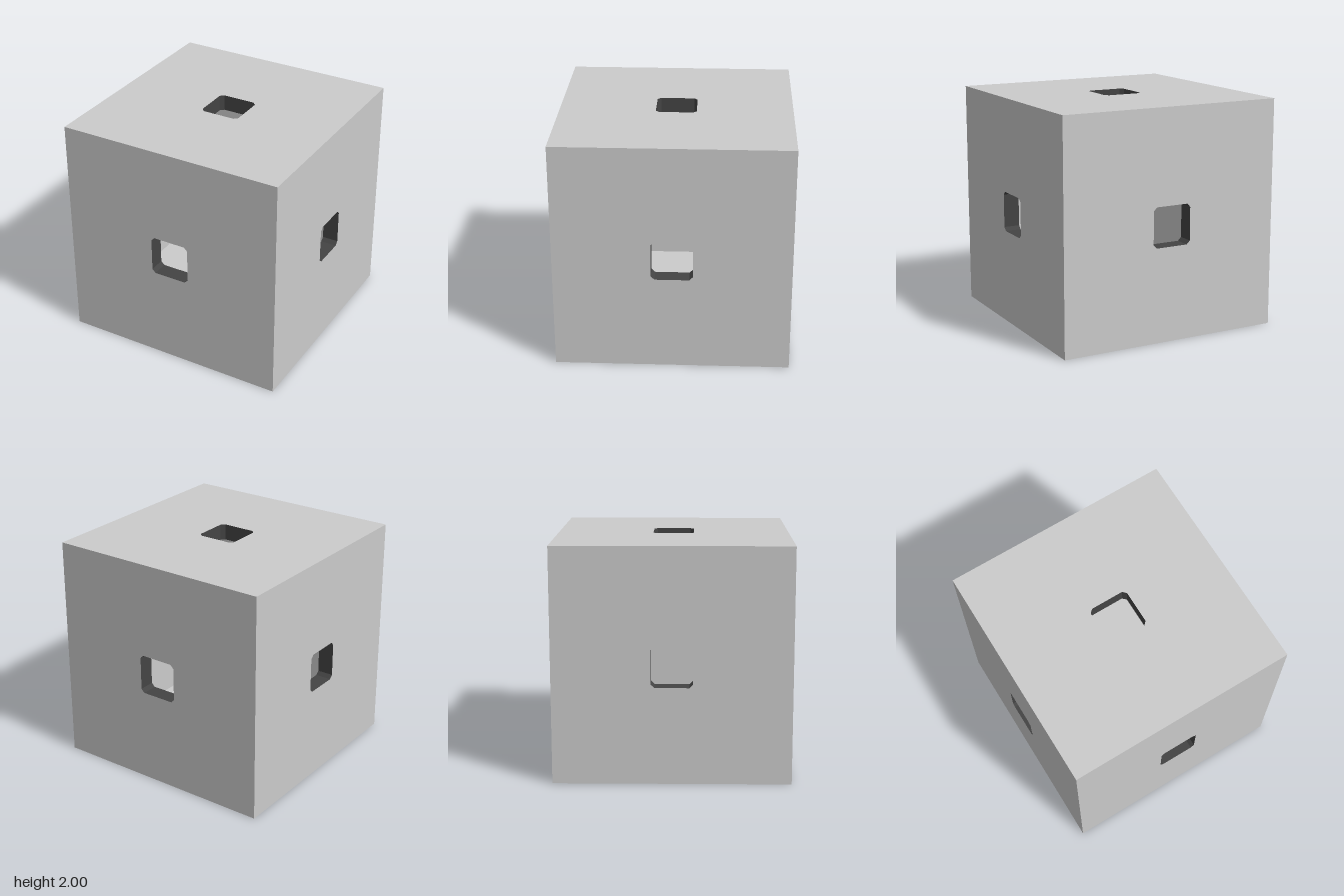
import * as THREE from 'three';

const HALF = 1, WALL = 0.14, HOLE = 0.175, CUT = 0.03;

// Square opening with clipped corners, counter-clockwise
function openingPoints() {
  const a = HOLE, b = HOLE - CUT;
  return [[a, -b], [a, b], [b, a], [-b, a], [-a, b], [-a, -b], [-b, -a], [b, -a]]
    .map(([x, y]) => new THREE.Vector2(x, y));
}

// Flat square sheet pierced by the opening
function sheet(half) {
  const shape = new THREE.Shape([[-half, -half], [half, -half], [half, half], [-half, half]]
    .map(([x, y]) => new THREE.Vector2(x, y)));
  shape.holes.push(new THREE.Path(openingPoints().reverse()));
  return new THREE.ShapeGeometry(shape);
}

// Short wall band lining the opening, facing its middle
function liningGeometry() {
  const pts = openingPoints(), pos = [];
  pts.forEach((p, i) => {
    const q = pts[(i + 1) % pts.length], f = HALF, b = HALF - WALL;
    pos.push(p.x, p.y, f, p.x, p.y, b, q.x, q.y, b);
    pos.push(p.x, p.y, f, q.x, q.y, b, q.x, q.y, f);
  });
  const g = new THREE.BufferGeometry();
  g.setAttribute('position', new THREE.Float32BufferAttribute(pos, 3));
  g.computeVertexNormals();
  return g;
}

export function createModel() {
  const model = new THREE.Group();
  const grey = new THREE.MeshStandardMaterial({ color: 0xcccccc });
  const dark = new THREE.MeshStandardMaterial({ color: 0x444444 });
  dark.side = THREE.DoubleSide;
  const red = new THREE.MeshStandardMaterial({ color: 0xee0000 });

  const add = (parent, name, geometry, material, x = 0, y = 0, z = 0) => {
    const mesh = new THREE.Mesh(geometry, material);
    mesh.name = name;
    mesh.position.set(x, y, z);
    parent.add(mesh);
    return mesh;
  };

  // Six pierced walls: outer skin, inner skin and dark opening lining
  const outer = sheet(HALF).translate(0, 0, HALF);
  const inner = sheet(HALF - WALL).rotateY(Math.PI).translate(0, 0, HALF - WALL);
  const lining = liningGeometry();
  const q = Math.PI / 2;
  const walls = {
    frontWall: [0, 0], leftWall: [0, q], backWall: [0, 2 * q],
    rightWall: [0, -q], topWall: [-q, 0], bottomWall: [q, 0],
  };
  for (const [name, [rx, ry]] of Object.entries(walls)) {
    const wall = new THREE.Group();
    wall.name = name;
    wall.position.y = HALF;
    wall.rotation.set(rx, ry, 0);
    add(wall, 'outerSkin', outer, grey);
    add(wall, 'innerSkin', inner, grey);
    add(wall, 'openingLining', lining, dark);
    model.add(wall);
  }

  // Small dark panel with two red bars, high on the inside of one wall
  const fitting = new THREE.Group();
  fitting.name = 'innerFitting';
  add(fitting, 'backPanel', new THREE.BoxGeometry(0.02, 0.3, 0.12), dark, -0.85, 1.64, -0.02);
  for (const y of [1.7, 1.6]) {
    add(fitting, 'redBar', new THREE.BoxGeometry(0.03, 0.03, 0.18), red, -0.83, y, 0);
  }
  model.add(fitting);
  return model;
}
